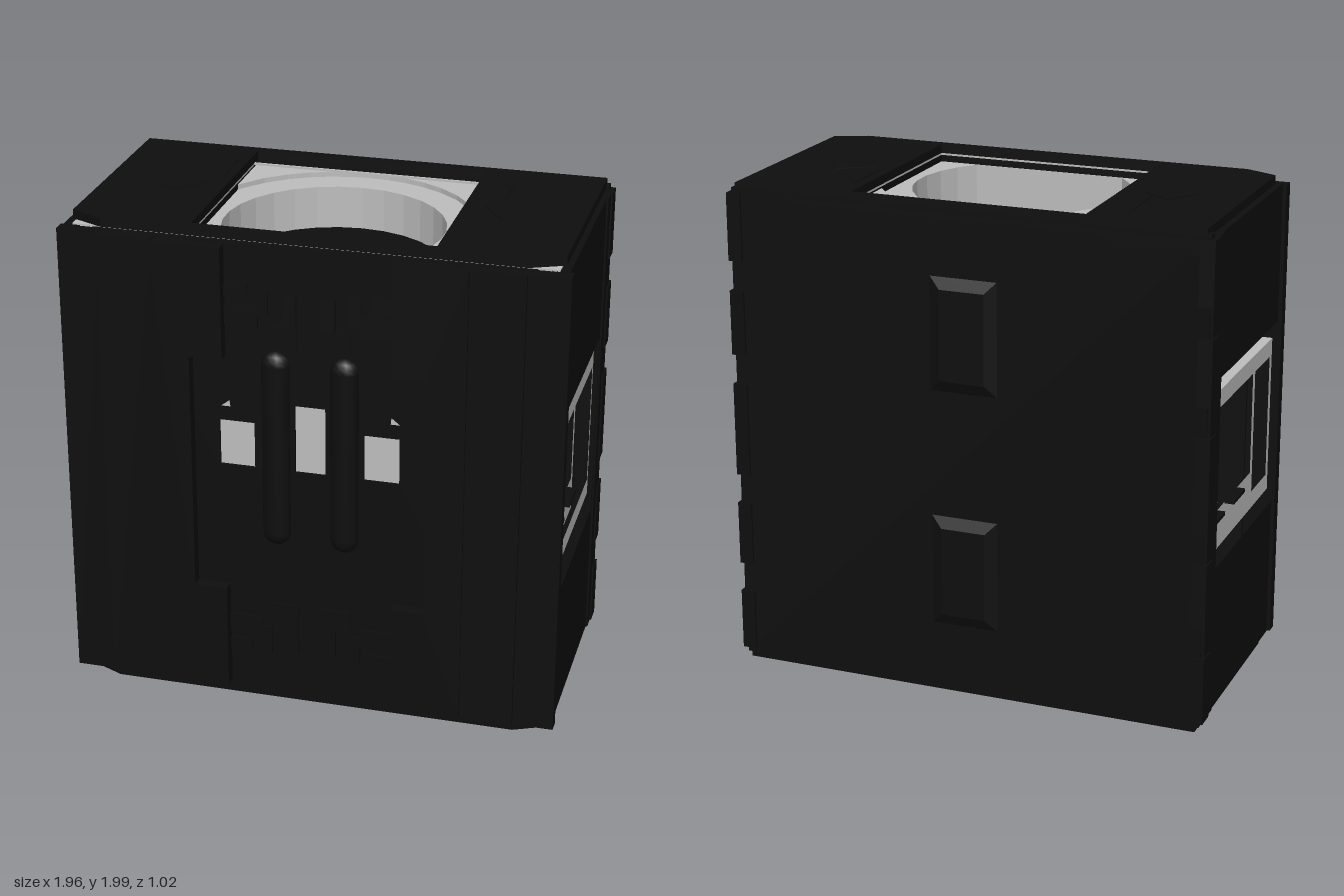
import * as THREE from 'three';

const black = new THREE.MeshStandardMaterial({ color: 0x0e0e0e });
black.name = 'black casing';
const grey = new THREE.MeshStandardMaterial({ color: 0xbebebe });
grey.name = 'light grey';

function add(parent, name, geometry, material) {
  const mesh = new THREE.Mesh(geometry, material);
  mesh.name = name;
  parent.add(mesh);
  return mesh;
}

// box given by its lower and upper corners
function box(parent, name, material, [x0, y0, z0], [x1, y1, z1]) {
  const g = new THREE.BoxGeometry(x1 - x0, y1 - y0, z1 - z0);
  g.translate((x0 + x1) / 2, (y0 + y1) / 2, (z0 + z1) / 2);
  return add(parent, name, g, material);
}

const rect = (x0, y0, x1, y1) => [[x0, y0], [x1, y0], [x1, y1], [x0, y1]];
const vec = pts => pts.map(([x, y]) => new THREE.Vector2(x, y));

// flat plate with holes, thickened along +z
function slab(outline, holes, depth) {
  const shape = new THREE.Shape(vec(outline));
  shape.holes = holes.map(h => new THREE.Path(vec(h)));
  return new THREE.ExtrudeGeometry(shape, { depth, bevelEnabled: false });
}
// plate drawn in x,z whose upper face lies at y
const flatSlab = (outline, holes, y, depth) =>
  slab(outline, holes, depth).rotateX(Math.PI / 2).translate(0, y, 0);
// plate drawn in z,y whose inner face lies at x
const sideSlab = (outline, holes, x, depth) => {
  const flip = p => p.map(([z, y]) => [-z, y]);
  return slab(flip(outline), holes.map(flip), depth).rotateY(Math.PI / 2).translate(x, 0, 0);
};

// end cap with the large round opening
function buildCap() {
  const cap = new THREE.Group();
  const opening = rect(-0.47, -0.45, 0.47, 0.41);
  const outline = (w, back, front) => [[-w, back], [w, back], [w, front - 0.06],
    [w - 0.13, front], [0.13 - w, front], [-w, front - 0.06]];
  add(cap, 'capPlate', flatSlab(outline(0.945, -0.49, 0.45), [opening], 1.99, 0.035), black);
  add(cap, 'seamPlate', flatSlab(rect(-0.93, -0.41, 0.93, 0.44), [rect(-0.47, -0.4, 0.47, 0.41)], 1.955, 0.008), grey);
  add(cap, 'capBase', flatSlab(outline(0.93, -0.49, 0.43), [opening], 1.947, 0.06), black);

  // circular collar, cut flat at the front
  const arc = (r, n) => {
    const a = Math.asin(0.295 / r), pts = [];
    for (let i = 0; i <= n; i++) {
      const t = a - (Math.PI + 2 * a) * i / n;
      pts.push([r * Math.cos(t), 0.11 + r * Math.sin(t)]);
    }
    return pts;
  };
  const collarEdge = rect(-0.47, -0.45, 0.47, 0.415);
  add(cap, 'collar', flatSlab(collarEdge, [arc(0.43, 22)], 1.92, 0.17), grey);
  // raised rear corners around the collar
  for (const s of [-1, 1]) {
    const corner = [[0.47 * s, -0.45], [0.47 * s, -0.18]];
    for (let i = 0; i <= 6; i++) {
      const x = 0.47 - 0.47 * i / 6;
      corner.push([x * s, 0.11 - Math.sqrt(0.55 ** 2 - x * x)]);
    }
    corner.push([0, -0.45]);
    add(cap, 'collarCorner', flatSlab(corner, [], 1.94, 0.03), grey);
    box(cap, 'capClip', black, [s * 0.56 - 0.05, 1.985, -0.34], [s * 0.56 + 0.05, 1.993, -0.1]);
    const wedge = box(cap, 'capWedge', black, [-0.08, 1.985, -0.08], [0.08, 1.993, 0.08]);
    wedge.position.set(s * 0.66, 0, -0.03);
    wedge.rotation.y = s * 0.6;
  }
  return cap;
}

// side wall with framed window
function buildSide() {
  const side = new THREE.Group();
  add(side, 'sideWall', sideSlab(rect(-0.48, 0.05, 0.44, 1.95),
    [rect(-0.35, 0.61, 0.43, 1.37)], 0.9, 0.065), black);
  const hole = rect(-0.33, 0.75, 0.4, 1.25);
  add(side, 'windowFrame', sideSlab(rect(-0.35, 0.68, 0.43, 1.32), [hole], 0.84, 0.105), grey);
  add(side, 'windowBackPlate', sideSlab(rect(-0.36, 0.6, 0.43, 1.38), [hole], 0.82, 0.06), grey);
  for (const z of [-0.15, 0.12]) {
    box(side, 'windowTab', black, [0.84, 1.24, z - 0.075], [0.92, 1.255, z + 0.075]);
    box(side, 'windowTab', black, [0.84, 0.745, z - 0.075], [0.92, 0.76, z + 0.075]);
  }
  // rear corner post with teeth
  box(side, 'rearPost', black, [0.9, 0.05, -0.48], [0.972, 1.95, -0.36]);
  for (const [y0, y1] of [[0.05, 0.3], [0.42, 0.68], [0.8, 1.18], [1.3, 1.56], [1.68, 1.95]])
    box(side, 'rearTooth', black, [0.92, y0, -0.5], [0.978, y1, -0.42]);
  return side;
}

// one half of the stepped front, s = side sign
function buildFrontHalf(s) {
  const half = new THREE.Group();
  const bar = (name, x0, x1, y0, y1, z0, z1) =>
    box(half, name, black, [Math.min(s * x0, s * x1), y0, z0], [Math.max(s * x0, s * x1), y1, z1]);
  bar('frontCorner', 0.81, 0.98, 0.055, 1.945, 0.43, 0.48);
  bar('frontStep', 0.6, 0.82, 0.055, 1.945, 0.43, 0.497);
  const outline = [[0.33, 0.07], [0.61, 0.07], [0.61, 1.94], [0.33, 1.94],
    [0.33, 1.49], [0.46, 1.49], [0.46, 0.51], [0.33, 0.51]].map(([x, y]) => [s * x, y]);
  add(half, 'raisedPanel', slab(outline, [], 0.06).translate(0, 0, 0.45), black);
  // rounded vertical rib
  const rib = new THREE.CapsuleGeometry(0.058, 0.7, 4, 10);
  rib.scale(1, 1, 0.75);
  add(half, 'frontRib', rib, black).position.set(s * 0.135, 1.12, 0.455);
  // stepped trim, repeated above and below
  for (const f of [y => y, y => 2 - y]) {
    const trim = (x0, x1, a, b) =>
      bar('frontTrim', x0, x1, Math.min(f(a), f(b)), Math.max(f(a), f(b)), 0.45, 0.47);
    trim(0.05, 0.16, 1.55, 1.63);
    trim(0.05, 0.1, 1.63, 1.76);
    trim(0.16, 0.2, 1.66, 1.78);
    trim(0.2, 0.33, 1.62, 1.7);
    trim(0.24, 0.33, 1.73, 1.79);
  }
  // small corner mark over the outer pane
  const mark = [[0.315, 1.28], [0.35, 1.28], [0.318, 1.305]].map(([x, y]) => [s * x, y]);
  add(half, 'cornerMark', slab(mark, [], 0.004).translate(0, 0, 0.459), grey);
  return half;
}

export function createModel() {
  const model = new THREE.Group();
  model.name = 'hollowCase';

  // mirrored caps and sides, turned half round about the centre
  for (const [name, build] of [['cap', buildCap], ['side', buildSide]]) {
    for (const turned of [false, true]) {
      const g = build();
      g.name = name + (turned ? 'Opposite' : '');
      if (turned) { g.rotation.z = Math.PI; g.position.y = 2; }
      model.add(g);
    }
  }

  // front wall with three panes
  const panes = [[-0.36, 1.03, -0.22, 1.22], [-0.06, 1.03, 0.06, 1.31], [0.21, 1.03, 0.35, 1.22]];
  add(model, 'frontWall', slab(rect(-0.85, 0.05, 0.85, 1.95),
    panes.map(p => rect(...p)), 0.045).translate(0, 0, 0.415), black);
  for (const [x0, y0, x1, y1] of panes)
    box(model, 'frontPane', grey, [x0, y0, 0.44], [x1, y1, 0.448]);
  for (const s of [-1, 1]) {
    const half = buildFrontHalf(s);
    half.name = s > 0 ? 'frontLeft' : 'frontRight';
    model.add(half);
  }

  // back wall with two bevelled bulges
  box(model, 'backWall', black, [-0.96, 0.03, -0.49], [0.96, 1.97, -0.455]);
  for (const [y0, y1] of [[0.29, 0.75], [1.25, 1.71]]) {
    const g = new THREE.ExtrudeGeometry(new THREE.Shape(vec(rect(-0.09, y0 + 0.05, 0.09, y1 - 0.05))),
      { depth: 0.002, bevelEnabled: true, bevelSize: 0.05, bevelThickness: 0.022, bevelSegments: 1 });
    add(model, 'backBulge', g.translate(0, 0, -0.488), black);
  }

  // loose cables along the inner front and back walls
  const wires = [
    [[-0.7, 1.3], [-0.35, 0.95], [0.1, 1.25], [0.7, 0.85]],
    [[-0.75, 0.6], [-0.3, 0.85], [0, 0.45], [0.4, 0.7], [0.72, 1.3]],
    [[-0.4, 0.35], [-0.1, 0.7], [0.35, 0.4], [0.6, 0.75]],
    [[-0.65, 1.5], [-0.6, 0.9], [-0.2, 0.6], [0.3, 1.5]],
  ];
  for (const z of [-0.43, 0.403]) for (const w of wires) {
    const path = new THREE.CatmullRomCurve3(w.map(([x, y]) => new THREE.Vector3(x, y, z)));
    add(model, 'cable', new THREE.TubeGeometry(path, 32, 0.009, 5), grey);
  }
  return model;
}
